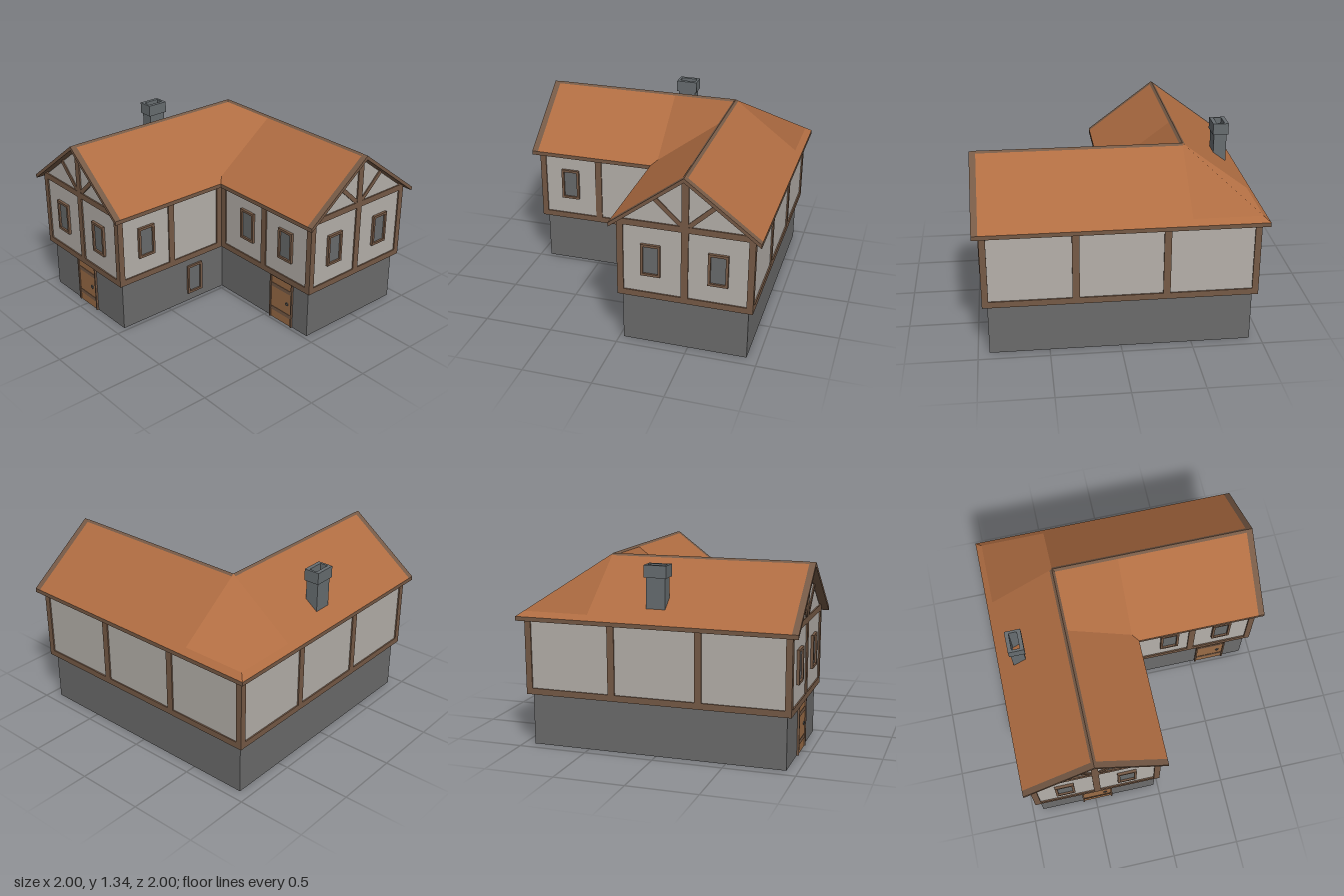
import * as THREE from 'three';

const mat = (name, color) => {
  const m = new THREE.MeshStandardMaterial({ color });
  m.name = name;
  return m;
};

export function createModel() {
  const stone = mat('stone', 0x6b6b6b), plaster = mat('plaster', 0xb5b0aa), timber = mat('timber', 0x765a46);
  const tile = mat('roof tile', 0xb06d42), doorWood = mat('door wood', 0x9a6c46);
  const chimneyStone = mat('chimney stone', 0x676d70), glass = mat('glass', 0x696b6c);

  const house = new THREE.Group();
  house.name = 'house';
  const group = (name, parent = house) => {
    const g = new THREE.Group();
    g.name = name;
    parent.add(g);
    return g;
  };
  const add = (parent, name, geo, material) => {
    const m = new THREE.Mesh(geo, material);
    m.name = name;
    parent.add(m);
    return m;
  };
  // Box given by its low and high limits on each axis
  const box = (parent, name, material, x0, x1, y0, y1, z0, z1) => {
    const m = add(parent, name, new THREE.BoxGeometry(x1 - x0, y1 - y0, z1 - z0), material);
    m.position.set((x0 + x1) / 2, (y0 + y1) / 2, (z0 + z1) / 2);
    return m;
  };

  const C = -0.4775, R = 1.335, S = 0.756; // ridge line, ridge height, roof slope
  const IN = 0.045, T = 0.03, RAKE = 0.955; // inner eave, roof thickness, end of the tiles

  // Ground floor
  box(house, 'groundFloorFrontWing', stone, -0.92, -0.03, 0, 0.38, -0.92, 0.92);
  box(house, 'groundFloorSideWing', stone, -0.03, 0.92, 0, 0.38, -0.92, -0.03);

  // Upper floor: two gabled wings and the corner between them
  const gable = new THREE.Shape([[-0.4675, 0.378], [0.4675, 0.378], [0.4675, 0.94], [0, 1.295], [-0.4675, 0.94]]
    .map(([x, y]) => new THREE.Vector2(x, y)));
  const wingGeo = new THREE.ExtrudeGeometry(gable, { depth: 0.945 - C, bevelEnabled: false });
  add(house, 'upperFrontWing', wingGeo, plaster).position.set(C, 0, C);
  const sideWing = add(house, 'upperSideWing', wingGeo, plaster);
  sideWing.position.set(C, 0, C);
  sideWing.rotation.y = Math.PI / 2;
  box(house, 'upperCorner', plaster, -0.945, C, 0.378, 0.94, -0.945, C);

  // Framed window centred on u, standing out from the wall plane
  const windowAt = (parent, u, y0) => {
    const g = group('window', parent), y1 = y0 + 0.24, f = 0.018;
    for (const s of [-1, 1]) {
      box(g, 'windowJamb', timber, u + s * 0.061 - f / 2, u + s * 0.061 + f / 2, y0, y1, -0.01, 0.02);
    }
    box(g, 'windowSill', timber, u - 0.052, u + 0.052, y0, y0 + f, -0.01, 0.02);
    box(g, 'windowHead', timber, u - 0.052, u + 0.052, y1 - f, y1, -0.01, 0.02);
    box(g, 'windowPane', glass, u - 0.054, u + 0.054, y0 + f, y1 - f, 0, 0.006);
  };

  // Timber-framed wall: u runs to the right seen from outside, the plane lies at the given distance
  const wall = (name, angle, plane, u0, u1, posts, windows, isGable) => {
    const g = group(name);
    g.rotation.y = angle;
    g.position.set(Math.sin(angle) * plane, 0, Math.cos(angle) * plane);
    const beam = (n, a, b, y0, y1) => box(g, n, timber, a, b, y0, y1, -0.035, 0.01);
    beam('sillBeam', u0, u1, 0.375, 0.42);
    beam('topBeam', u0, u1, 0.92, isGable ? 0.965 : 0.94);
    posts.forEach((u, i) => {
      const middle = i > 0 && i < posts.length - 1, w = middle ? 0.025 : 0.0225;
      beam('post', u - w, u + w, 0.375, middle && isGable ? 1.305 : 0.94);
    });
    if (isGable) {
      for (const s of [-1, 1]) {
        const brace = add(g, 'brace', new THREE.BoxGeometry(0.27, 0.032, 0.04), timber);
        brace.position.set(posts[1] + s * 0.112, 1.048, -0.012);
        brace.rotation.z = s * 0.75;
      }
    }
    windows.forEach((u) => windowAt(g, u, 0.553));
  };
  const Q = Math.PI / 2, E = 0.9325, N = 0.0225;
  wall('frontGableWall', 0, 0.945, -0.955, 0, [-E, C, -N], [-0.71, -0.25], true);
  wall('sideGableWall', Q, 0.945, 0, 0.955, [N, -C, E], [0.24, 0.71], true);
  wall('courtWallFrontWing', Q, -0.01, -0.955, 0, [-E, -0.48, -N], [-0.71], false);
  wall('courtWallSideWing', 0, -0.01, 0, 0.955, [N, 0.47, E], [0.295, 0.70], false);
  wall('backWall', 2 * Q, 0.945, -0.955, 0.955, [-E, -0.3125, 0.3125, E], [], false);
  wall('leftWall', -Q, 0.945, -0.955, 0.955, [-E, -0.3125, 0.3125, E], [], false);

  // Ground floor window in the court
  const lowWindow = group('groundFloorWindow');
  lowWindow.rotation.y = Q;
  lowWindow.position.x = -0.035;
  windowAt(lowWindow, -0.252, 0.065);

  // Doors
  for (const [x, z] of [[-0.483, 0.92], [0.652, -0.03]]) {
    const d = group('door');
    d.position.set(x, 0, z);
    box(d, 'doorPanel', doorWood, -0.106, 0.106, 0, 0.36, -0.005, 0.006);
    for (const s of [-1, 1]) box(d, 'doorJamb', timber, s * 0.111 - 0.006, s * 0.111 + 0.006, 0, 0.366, -0.005, 0.015);
    box(d, 'doorHead', timber, -0.106, 0.106, 0.36, 0.368, -0.005, 0.015);
    for (const y of [0.065, 0.268]) box(d, 'doorBand', timber, -0.105, 0.105, y, y + 0.03, 0.005, 0.009);
    const ring = add(d, 'doorHandle', new THREE.TorusGeometry(0.011, 0.004, 6, 12), glass);
    ring.position.set(0.063, 0.18, 0.01);
  }

  // Roof height over the plan: hip at the outer corner, valley at the inner one
  const height = (x, z) => R - S * Math.abs(Math.min(x - C, z - C));
  // Fan of triangles over plan points
  const roofFace = (parent, name, material, pts, { lift = 0, flip = false, normal } = {}) => {
    const v = (flip ? [...pts].reverse() : pts).map(([x, z]) => [x, height(x, z) + lift, z]);
    const pos = [];
    for (let i = 1; i < v.length - 1; i++) pos.push(...v[0], ...v[i], ...v[i + 1]);
    const geo = new THREE.BufferGeometry();
    geo.setAttribute('position', new THREE.Float32BufferAttribute(pos, 3));
    geo.computeVertexNormals();
    if (normal) for (let i = 0; i < pos.length / 3; i++) geo.attributes.normal.setXYZ(i, ...normal);
    add(parent, name, geo, material);
  };
  const swap = (pts) => pts.map(([x, z]) => [z, x]);
  const roof = group('roof'), H = -RAKE;
  // Faces of the front wing, mirrored across the diagonal for the side wing
  const outer = (end) => [[C, C], [H, C], [H, H], [-1, -1], [-1, end], [C, end]];
  const slopes = [
    ['outerTiles', tile, [[C, C], [-1, C], [-1, RAKE], [C, RAKE]]],
    ['hipEaveTiles', tile, [[H, C], [H, H], [-1, -1], [-1, C]]],
    ['innerTiles', tile, [[C, RAKE], [IN, RAKE], [IN, IN], [0, 0], [C, 0]]],
    ['outerRake', timber, [[C, RAKE], [-1, RAKE], [-1, 1], [C, 1]]],
    ['innerRake', timber, [[C, 1], [IN, 1], [IN, RAKE], [C, RAKE]]],
    ['outerRidgeStrip', timber, [[C, C], [C - 0.018, C], [C - 0.018, RAKE], [C, RAKE]], 0.002],
    ['innerRidgeStrip', timber, [[C, RAKE], [C + 0.018, RAKE], [C + 0.018, C + 0.018], [C, C]], 0.002],
  ];
  for (const [name, material, pts, lift = 0] of slopes) {
    roofFace(roof, name, material, pts, { lift });
    roofFace(roof, name, material, swap(pts), { lift, flip: true });
  }
  // Softly shaded hip and valley faces
  roofFace(roof, 'hipTiles', tile, [[C, C], [C, H], [H, H], [H, C]], { normal: [-0.335, 0.88, -0.335] });
  roofFace(roof, 'valleyTiles', tile, [[C, C], [C, 0], [0, 0], [0, C]], { normal: [0.335, 0.88, 0.335] });

  // Underside of the roof
  for (const pts of [[[C, C], [-1, -1], [-1, 1], [C, 1]], [[C, 1], [IN, 1], [IN, IN], [C, C]]]) {
    roofFace(roof, 'roofUnderside', timber, pts, { lift: -T, flip: true });
    roofFace(roof, 'roofUnderside', timber, swap(pts), { lift: -T });
  }

  // Fascia boards around the edge
  const rim = [[-1, -1], [-1, 1], [C, 1], [IN, 1], [IN, IN], [1, IN], [1, C], [1, -1]];
  const edge = [];
  rim.forEach(([x0, z0], i) => {
    const [x1, z1] = rim[(i + 1) % rim.length], a = height(x0, z0), b = height(x1, z1);
    edge.push(x0, a - T, z0, x1, b - T, z1, x1, b, z1, x0, a - T, z0, x1, b, z1, x0, a, z0);
  });
  const fascia = new THREE.BufferGeometry();
  fascia.setAttribute('position', new THREE.Float32BufferAttribute(edge, 3));
  fascia.computeVertexNormals();
  add(roof, 'fascia', fascia, timber);

  // Hollow chimney
  const chimney = group('chimney');
  chimney.position.set(-0.8375, 0, -0.005);
  const rect = (w, d, Kind) => new Kind([[-w, -d], [w, -d], [w, d], [-w, d]].map(([x, y]) => new THREE.Vector2(x / 2, y / 2)));
  for (const [name, w, d, y0, y1] of [['chimneyShaft', 0.095, 0.135, 0.99, 1.24], ['chimneyCap', 0.115, 0.16, 1.24, 1.325]]) {
    const s = rect(w, d, THREE.Shape);
    s.holes.push(rect(0.058, 0.125, THREE.Path));
    const geo = new THREE.ExtrudeGeometry(s, { depth: y1 - y0, bevelEnabled: false });
    geo.rotateX(-Math.PI / 2);
    add(chimney, name, geo, chimneyStone).position.y = y0;
  }
  return house;
}
